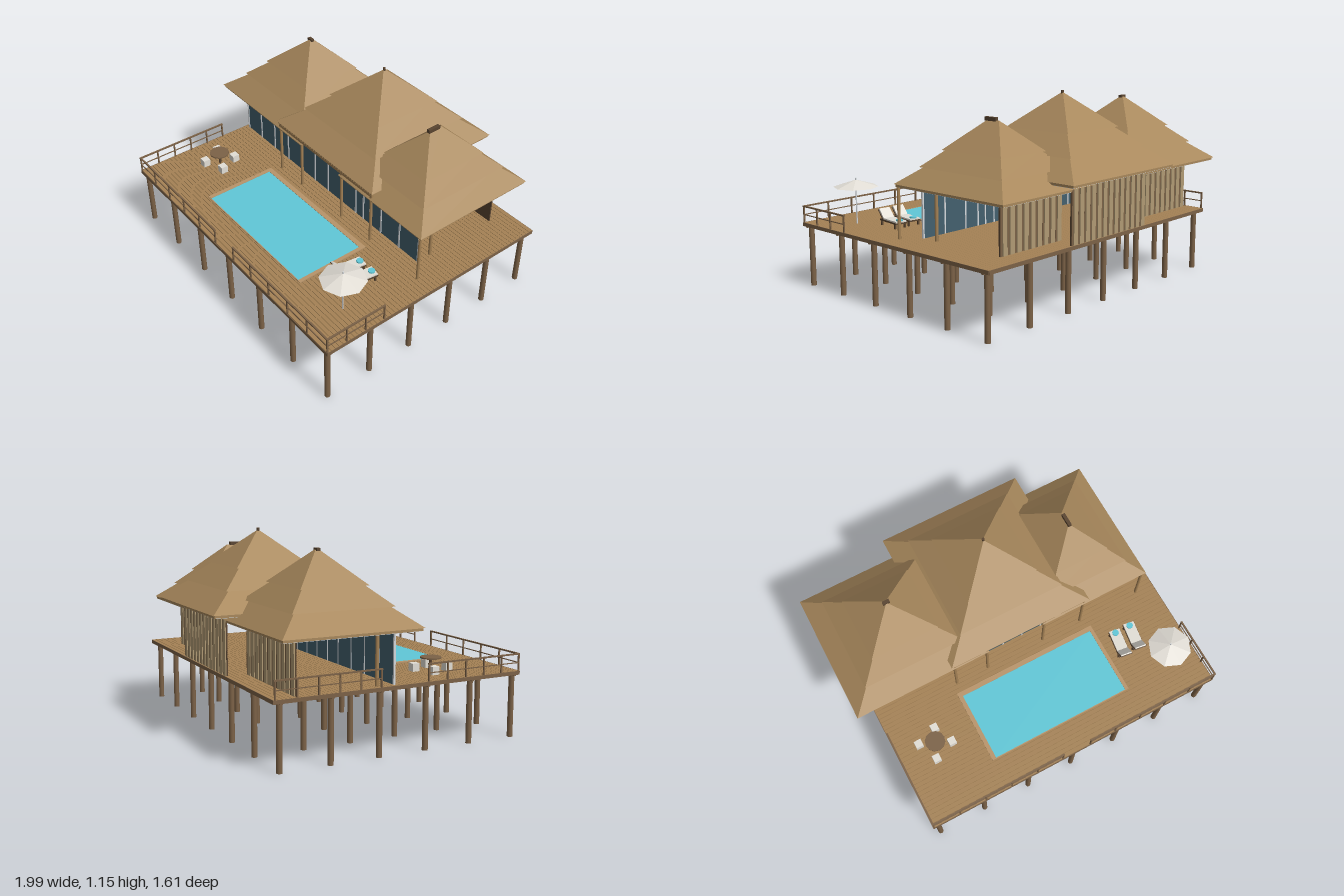
import * as THREE from 'three';

const mat = (name, color) => {
  const m = new THREE.MeshStandardMaterial({ color });
  m.name = name;
  return m;
};

export function createModel() {
  const thatch = mat('thatch', 0xa8885c);
  const plank = mat('deck plank', 0xa58255);
  const coping = mat('pool coping', 0xb8946a);
  const darkWood = mat('dark wood', 0x5a4531);
  const postWood = mat('post wood', 0x7c6247);
  const tan = mat('wall slat', 0xb09a74);
  const glass = mat('window glass', 0x43606e);
  const water = mat('pool water', 0x60c8d8);
  const white = mat('white fabric', 0xe2ded6);
  const pale = mat('soffit white', 0xd4d8dc);
  const root = new THREE.Group();
  const DECK = 0.378;

  const group = (name, parent = root) => {
    const g = new THREE.Group();
    g.name = name;
    parent.add(g);
    return g;
  };
  const add = (name, geo, m, x, y, z, parent = root) => {
    const mesh = new THREE.Mesh(geo, m);
    mesh.name = name;
    mesh.position.set(x, y, z);
    parent.add(mesh);
    return mesh;
  };
  // Box given by its extents
  const box = (name, m, x0, x1, y0, y1, z0, z1, parent) =>
    add(name, new THREE.BoxGeometry(x1 - x0, y1 - y0, z1 - z0), m,
      (x0 + x1) / 2, (y0 + y1) / 2, (z0 + z1) / 2, parent);
  const pole = (name, m, r, x, y0, y1, z, parent) =>
    add(name, new THREE.CylinderGeometry(r, r, y1 - y0, 12), m, x, (y0 + y1) / 2, z, parent);
  // Box whose top face is narrowed
  const frustum = (tx, tz, bx, bz, h) => {
    const g = new THREE.BoxGeometry(2, h, 2);
    const p = g.attributes.position;
    for (let i = 0; i < p.count; i++) {
      const top = p.getY(i) > 0;
      p.setX(i, p.getX(i) * (top ? tx : bx));
      p.setZ(i, p.getZ(i) * (top ? tz : bz));
    }
    g.computeVertexNormals();
    return g;
  };

  // Deck: planks, rim boards, beams and stilts
  const deck = group('deck');
  const pitch = 1.495 / 60;
  for (let i = 0; i < 60; i++) {
    const z = -0.699 + i * pitch;
    box('deckPlank', plank, -0.897, 0.991, 0.362, DECK, z, z + pitch - 0.002, deck);
  }
  for (const x of [-0.9, 0.991]) box('rimBoard', postWood, x, x + 0.003, 0.357, DECK, -0.7, 0.798, deck);
  for (const z of [-0.702, 0.796]) box('rimBoard', postWood, -0.897, 0.991, 0.357, DECK, z, z + 0.003, deck);
  const stilts = group('stilts');
  for (let j = 0; j < 6; j++) {
    const z = 0.77 - j * 0.285;
    box('deckBeam', postWood, -0.895, 0.99, 0.35, 0.362, z - 0.008, z + 0.008, deck);
    for (let i = 0; i < 7; i++) pole('stilt', postWood, 0.016, -0.865 + i * 0.3035, 0, 0.36, z, stilts);
  }

  // Pool with wooden coping and overflow gutter
  const pool = group('pool');
  box('poolBasin', water, -0.39, 0.49, 0.28, DECK + 0.004, 0.18, 0.605, pool);
  box('overflowGutter', water, -0.415, 0.51, 0.315, 0.357, 0.635, 0.657, pool);
  box('copingBack', coping, -0.415, 0.512, 0.365, DECK + 0.006, 0.15, 0.18, pool);
  box('copingRight', coping, -0.415, -0.39, 0.365, DECK + 0.006, 0.18, 0.605, pool);
  box('copingLeft', coping, 0.49, 0.512, 0.365, DECK + 0.006, 0.18, 0.605, pool);
  box('copingFront', coping, -0.415, 0.512, 0.365, DECK + 0.005, 0.605, 0.611, pool);

  // Railings between two deck points
  const rail = (x0, z0, x1, z1, n) => {
    const g = group('railing');
    const r = 0.004;
    for (let i = 0; i <= n; i++) {
      const x = x0 + (x1 - x0) * i / n, z = z0 + (z1 - z0) * i / n;
      box('railPost', postWood, x - r, x + r, DECK, 0.47, z - r, z + r, g);
    }
    for (const [y, h, w] of [[0.473, 0.004, 0.005], [0.424, 0.0025, 0.0025]]) {
      box('railBar', postWood, Math.min(x0, x1) - w, Math.max(x0, x1) + w,
        y - h, y + h, Math.min(z0, z1) - w, Math.max(z0, z1) + w, g);
    }
  };
  rail(-0.893, 0.793, -0.045, 0.793, 5);
  rail(0.14, 0.793, 0.987, 0.793, 5);
  rail(-0.893, 0.793, -0.893, 0.2, 5);
  rail(-0.893, -0.09, -0.893, -0.69, 5);
  rail(0.987, 0.793, 0.987, 0.42, 3);

  // Pavilions: tiered roof, soffit, glazed front and slatted back wall
  const tiers = [[0.004, 0, 0.49, 0.47], [0.43, 0.455, 0.73, 0.735], [0.66, 0.72, 1, 1]];
  const pavilion = (name, o) => {
    const g = group(name);
    const H = o.apex - o.eave;
    for (const [f0, t0, f1, t1] of tiers) {
      const hz = f => o.ridge + f * (o.d - o.ridge);
      add('roofTier', frustum(f0 * o.w, hz(f0), f1 * o.w, hz(f1), (t1 - t0) * H), thatch,
        o.x, o.apex - (t0 + t1) / 2 * H, o.z, g);
    }
    const e = o.eave;
    box('eaveEdge', thatch, o.x - o.w + 0.008, o.x + o.w - 0.008, e - 0.015, e, o.z - o.d + 0.008, o.z + o.d - 0.008, g);
    box('soffit', pale, o.x - o.w + 0.014, o.x + o.w - 0.014, e - 0.018, e - 0.015, o.z - o.d + 0.014, o.z + o.d - 0.014, g);
    const top = e - 0.02, front = 0;
    box('ceiling', postWood, o.x0, o.x1, top - 0.006, top, o.back, front, g);
    // Glazing with pale mullions
    box('glazing', glass, o.x0, o.x1, DECK, top, front - 0.005, front, g);
    for (let i = 0; i <= o.panes; i++) {
      const x = o.x0 + (o.x1 - o.x0) * i / o.panes;
      box('mullion', pale, x - 0.005, x + 0.005, DECK, top, front - 0.007, front + 0.004, g);
    }
    box('lintel', postWood, o.x0, o.x1, top - o.lintel, top + 0.001, front - 0.008, front + 0.007, g);
    // Back wall of dark boards with alternating slats
    box('backWall', darkWood, o.x0, o.x1, DECK, top, o.back, o.back + 0.008, g);
    const n = Math.round((o.x1 - o.x0) / 0.052), s = (o.x1 - o.x0) / n;
    for (let i = 0; i < n; i++) {
      const x = o.x0 + i * s;
      box('wideSlat', tan, x + 0.002, x + s * 0.66, DECK, top, o.back - 0.006, o.back, g);
      box('narrowSlat', postWood, x + s * 0.66 + 0.003, x + s - 0.002, DECK, top, o.back - 0.003, o.back, g);
    }
    return g;
  };
  const right = pavilion('rightPavilion', {
    x: -0.58, z: -0.3, w: 0.42, d: 0.4, ridge: 0.004, apex: 1.07, eave: 0.685,
    x0: -0.87, x1: -0.28, back: -0.57, panes: 4, lintel: 0.01 });
  const centre = pavilion('centrePavilion', {
    x: 0.047, z: -0.352, w: 0.45, d: 0.455, ridge: 0.004, apex: 1.135, eave: 0.728,
    x0: -0.28, x1: 0.37, back: -0.69, panes: 5, lintel: 0.014 });
  const left = pavilion('leftPavilion', {
    x: 0.543, z: -0.3, w: 0.35, d: 0.4, ridge: 0.04, apex: 1.02, eave: 0.678,
    x0: 0.31, x1: 0.78, back: -0.57, panes: 3, lintel: 0.02 });
  box('ridgeCap', darkWood, -0.6, -0.56, 1.06, 1.075, -0.31, -0.29, right);
  pole('finial', darkWood, 0.008, 0.047, 1.125, 1.148, -0.352, centre);
  box('ridgeCap', darkWood, 0.533, 0.553, 1.015, 1.036, -0.325, -0.245, left);

  // Porch posts and the beam they carry
  for (const x of [-0.38, -0.17, 0.21, 0.472]) pole('porchPost', plank, 0.009, x, DECK, 0.708, 0.085);
  box('porchBeam', plank, -0.39, 0.482, 0.692, 0.709, 0.077, 0.093);
  pole('porchPost', plank, 0.009, 0.873, DECK, 0.66, 0.085);
  for (const x of [-0.862, 0.772]) pole('sidePost', plank, 0.01, x, DECK, 0.66, -0.1);

  // Parasol
  const parasol = group('parasol');
  parasol.position.set(0.8, 0, 0.545);
  pole('parasolPole', pale, 0.004, 0, DECK, 0.645, 0, parasol);
  const canopy = new THREE.ConeGeometry(0.128, 0.04, 8).toNonIndexed();
  canopy.computeVertexNormals();
  add('parasolCanopy', canopy, white, 0, 0.614, 0, parasol);

  // Sun loungers with raised head ends
  for (const x of [0.602, 0.702]) {
    const g = group('lounger');
    g.position.set(x, DECK, 0.345);
    g.rotation.y = -0.14;
    box('loungerFrame', darkWood, -0.037, 0.037, 0.026, 0.035, -0.09, 0.08, g);
    box('loungerCushion', white, -0.034, 0.034, 0.035, 0.043, -0.09, 0.045, g);
    for (const sx of [-1, 1]) for (const z of [-0.075, 0.065])
      box('loungerLeg', darkWood, sx * 0.032 - 0.005, sx * 0.032 + 0.005, 0, 0.03, z - 0.005, z + 0.005, g);
    const back = group('loungerBack', g);
    back.position.set(0, 0.036, 0.045);
    back.rotation.x = -0.8;
    box('backFrame', darkWood, -0.037, 0.037, -0.006, 0, 0, 0.07, back);
    box('backCushion', white, -0.034, 0.034, 0, 0.008, 0, 0.07, back);
    add('towel', new THREE.CylinderGeometry(0.02, 0.02, 0.008, 12), water, 0, 0.047, -0.07, g);
  }

  // Dining table and stools
  const dining = group('diningSet');
  pole('tableTop', postWood, 0.06, -0.665, 0.449, 0.457, 0.365, dining);
  pole('tableLeg', darkWood, 0.008, -0.665, DECK, 0.45, 0.365, dining);
  for (const [x, z] of [[-0.755, 0.325], [-0.63, 0.28], [-0.575, 0.4], [-0.7, 0.45]])
    box('stool', white, x - 0.022, x + 0.022, DECK, 0.423, z - 0.022, z + 0.022, dining);

  return root;
}
